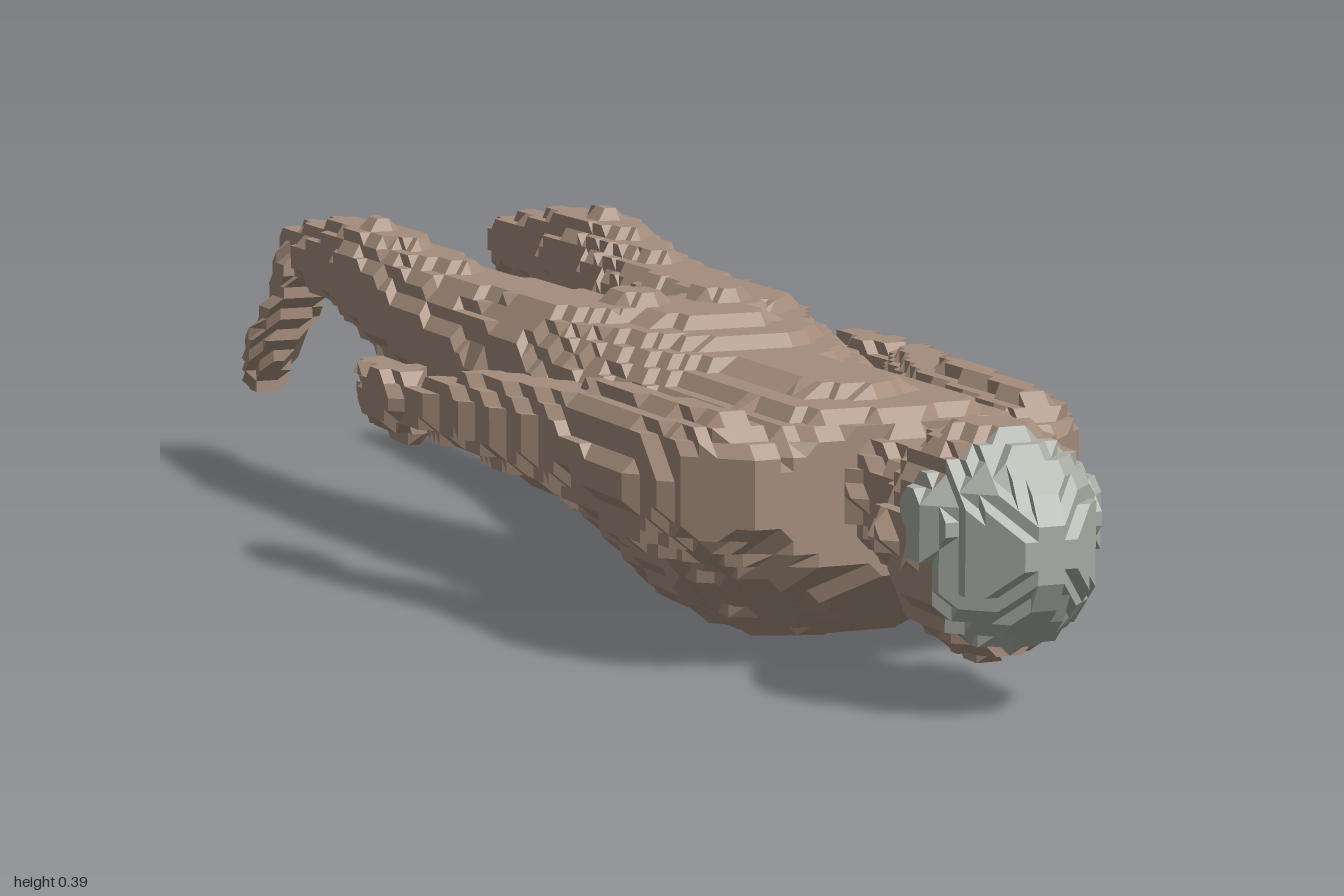
import * as THREE from 'three';

const STEP = 1 / 64; // size of one terrace step
const snap = (v) => Math.round(v / STEP) * STEP;
const skin = new THREE.MeshStandardMaterial({ color: 0xa58d7c, flatShading: true });
const hair = new THREE.MeshStandardMaterial({ color: 0xa9ada5, flatShading: true });

// Blends the rows [t, uMin, uMax, vMin, vMax] on either side of t.
function sample(rows, t) {
  let i = 0;
  while (i < rows.length - 2 && t > rows[i + 1][0]) i++;
  const a = rows[i], b = rows[i + 1];
  const k = THREE.MathUtils.clamp((t - a[0]) / (b[0] - a[0]), 0, 1);
  return a.map((v, j) => v + (b[j] - v) * k);
}

// Terraced loft: rounded cross-sections whose points snap to a cubic grid.
// Axis 'z' reads u, v as x, y; axis 'y' reads them as z, x.
function loft(name, rows, { axis = 'z', sides = 40, material = skin } = {}) {
  const rings = [], power = 2.35;
  const start = snap(rows[0][0]), end = snap(rows[rows.length - 1][0]);
  const count = Math.round((end - start) / STEP);
  const place = (u, v, t) => (axis === 'z' ? new THREE.Vector3(u, v, t) : new THREE.Vector3(v, t, u));
  for (let r = 0; r <= count; r++) {
    const t = start + r * STEP;
    const [, u0, u1, v0, v1] = sample(rows, t);
    const ring = [];
    for (let i = 0; i < sides; i++) {
      const a = (i / sides) * Math.PI * 2, c = Math.cos(a), s = Math.sin(a);
      const u = (u0 + u1) / 2 + ((u1 - u0) / 2) * Math.sign(c) * Math.abs(c) ** (2 / power);
      const v = (v0 + v1) / 2 + ((v1 - v0) / 2) * Math.sign(s) * Math.abs(s) ** (2 / power);
      ring.push(place(snap(u), snap(v), t));
    }
    ring.center = place((u0 + u1) / 2, (v0 + v1) / 2, t);
    rings.push(ring);
  }
  const pos = [], e1 = new THREE.Vector3(), e2 = new THREE.Vector3();
  const tri = (a, b, c) => {
    if (e1.subVectors(b, a).cross(e2.subVectors(c, a)).length() < 1e-7) return;
    for (const p of [a, b, c]) pos.push(p.x, p.y, p.z);
  };
  for (let i = 0; i < sides; i++) {
    const j = (i + 1) % sides;
    for (let r = 0; r < count; r++) {
      const a = rings[r], b = rings[r + 1];
      tri(a[i], a[j], b[j]);
      tri(a[i], b[j], b[i]);
    }
    tri(rings[0].center, rings[0][j], rings[0][i]);
    tri(rings[count].center, rings[count][i], rings[count][j]);
  }
  const geometry = new THREE.BufferGeometry();
  geometry.setAttribute('position', new THREE.Float32BufferAttribute(pos, 3));
  geometry.computeVertexNormals();
  const mesh = new THREE.Mesh(geometry, material);
  mesh.name = name;
  return mesh;
}

// Rows of an ellipsoid, or of its slice between from and to (-1 back, 1 front).
function ellipsoid(x, y, z, rx, ry, rz, from = -1, to = 1) {
  return Array.from({ length: 13 }, (_, k) => {
    const w = from + ((to - from) * k) / 12;
    const s = Math.sqrt(Math.max(1 - w * w, 0.06));
    return [z + w * rz, x - rx * s, x + rx * s, y - ry * s, y + ry * s];
  });
}

// Expands [z, halfWidth, yMin, yMax] to full rows.
const centred = (rows) => rows.map(([z, w, y0, y1]) => [z, -w, w, y0, y1]);

// Mirrors rows across x = 0.
const mirrorX = (rows, axis) => rows.map(([t, a, b, c, d]) =>
  (axis === 'y' ? [t, a, b, -d, -c] : [t, -b, -a, c, d]));

export function createModel() {
  const model = new THREE.Group();
  model.name = 'lyingFigure';

  const pair = (name, rows, options = {}) => {
    model.add(loft('left' + name, rows, options));
    model.add(loft('right' + name, mirrorX(rows, options.axis), options));
  };

  // Trunk, belly down
  model.add(loft('torso', centred([
    [-0.1, 0.1, 0.15, 0.32], [0, 0.2, 0.09, 0.35], [0.15, 0.2, 0.05, 0.34],
    [0.3, 0.205, 0.01, 0.31], [0.4, 0.215, 0, 0.31], [0.5, 0.22, 0.02, 0.31],
    [0.62, 0.21, 0.07, 0.3], [0.66, 0.15, 0.12, 0.28]]), { sides: 64 }));
  model.add(loft('neck', centred([
    [0.62, 0.09, 0.12, 0.285], [0.7, 0.06, 0.15, 0.265], [0.78, 0.065, 0.13, 0.27]])));

  // Head, face down, with the crown towards +z
  const skull = [0, 0.188, 0.86, 0.103, 0.125, 0.14];
  model.add(loft('head', ellipsoid(...skull, -1, 0.3), { sides: 48 }));
  model.add(loft('hairCap', ellipsoid(...skull, 0.3, 1), { sides: 48, material: hair }));
  model.add(loft('nose', ellipsoid(0, 0.075, 0.84, 0.022, 0.025, 0.04), { sides: 16 }));
  model.add(loft('mouth', ellipsoid(0, 0.09, 0.78, 0.035, 0.025, 0.025), { sides: 16 }));
  pair('Eyebrow', ellipsoid(0.04, 0.09, 0.87, 0.025, 0.022, 0.025), { sides: 16 });
  pair('Ear', ellipsoid(0.102, 0.19, 0.83, 0.017, 0.035, 0.045), { sides: 16 });
  pair('TempleHair', ellipsoid(0.085, 0.21, 0.885, 0.026, 0.055, 0.045), { sides: 20, material: hair });

  // Thigh, knee and calf
  pair('Leg', [
    [-0.96, 0.13, 0.18, 0.29, 0.34], [-0.88, 0.125, 0.195, 0.27, 0.355],
    [-0.7, 0.115, 0.205, 0.25, 0.38], [-0.6, 0.11, 0.22, 0.235, 0.385],
    [-0.4, 0.075, 0.215, 0.18, 0.355], [-0.2, 0.025, 0.215, 0.13, 0.345],
    [0, 0, 0.207, 0.1, 0.35], [0.14, 0.02, 0.18, 0.12, 0.32]]);
  pair('Buttock', ellipsoid(0.055, 0.32, 0.01, 0.045, 0.04, 0.075), { sides: 24 });

  // Foot hanging down from the heel to the toes
  pair('Foot', [
    [0.11, -1, -0.97, 0.18, 0.225], [0.18, -0.985, -0.93, 0.155, 0.235],
    [0.25, -0.955, -0.89, 0.135, 0.21], [0.3, -0.965, -0.87, 0.125, 0.2],
    [0.345, -0.955, -0.88, 0.13, 0.185]], { axis: 'y', sides: 24 });

  // Shoulder, elbow and wrist
  pair('Arm', [
    [-0.06, 0.298, 0.342, 0.2, 0.25], [0, 0.288, 0.345, 0.195, 0.26],
    [0.1, 0.242, 0.325, 0.18, 0.28], [0.3, 0.175, 0.275, 0.14, 0.29],
    [0.5, 0.14, 0.275, 0.115, 0.29], [0.6, 0.13, 0.25, 0.125, 0.29],
    [0.66, 0.15, 0.19, 0.17, 0.25]]);

  // Hand with three fingers and a thumb
  pair('Hand', ellipsoid(0.328, 0.228, -0.1, 0.035, 0.042, 0.08), { sides: 24 });
  pair('Thumb', ellipsoid(0.316, 0.192, -0.1, 0.02, 0.022, 0.05), { sides: 12 });
  for (let i = 0; i < 3; i++) {
    const reach = i === 1 ? 0.06 : 0.045;
    pair('Finger' + (i + 1),
      ellipsoid(0.322 + i * 0.006, 0.204 + i * 0.024, -0.16, 0.02, 0.016, reach), { sides: 12 });
  }
  return model;
}
